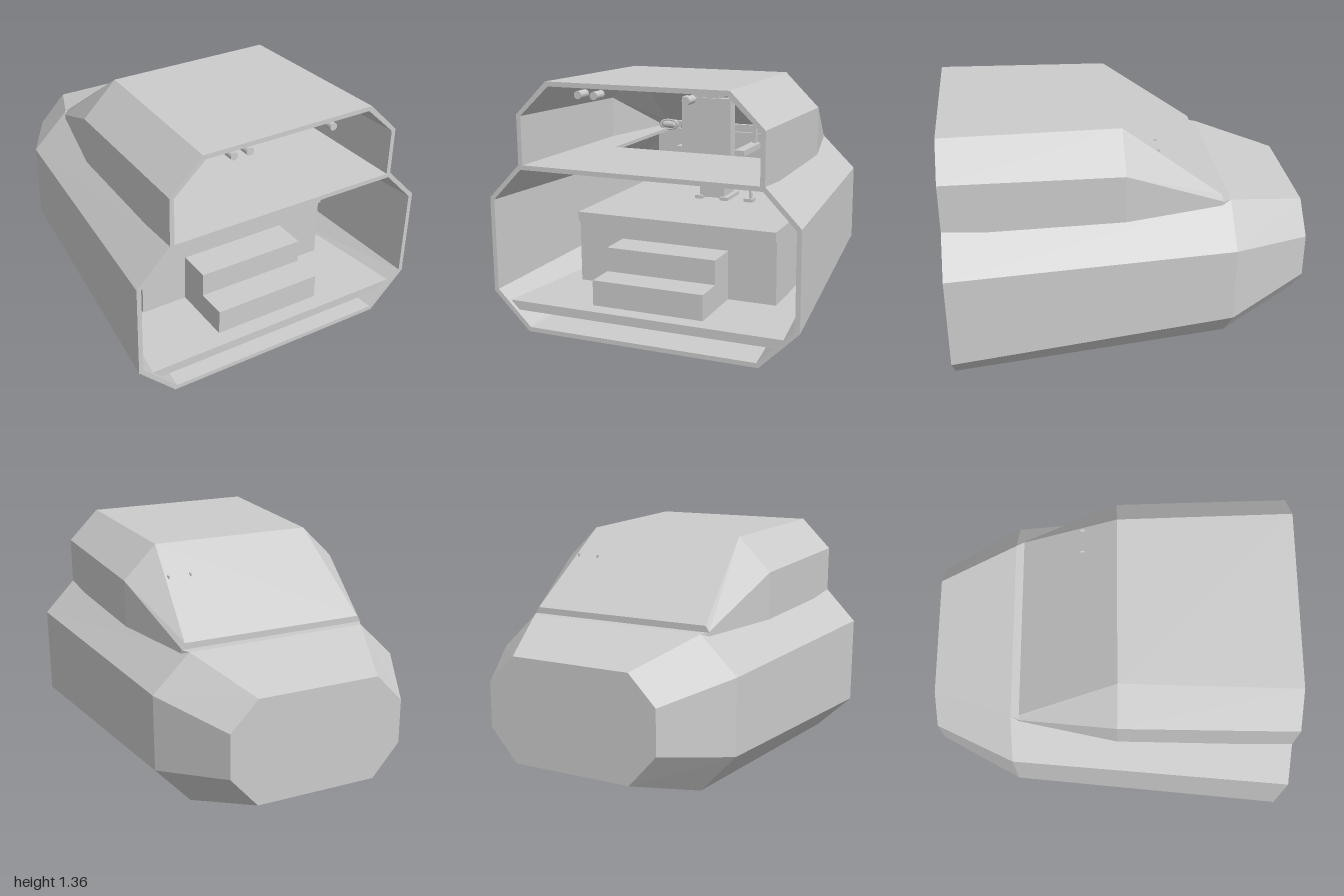
import * as THREE from 'three';

const grey = new THREE.MeshStandardMaterial({ color: 0xcccccc, flatShading: true, side: THREE.DoubleSide });
const smooth = new THREE.MeshStandardMaterial({ color: 0xcccccc });

// Skins a list of rings (counter-clockwise seen from +z, running towards -z) and caps both ends
function loft(rings, skip = () => false) {
  const pos = [];
  const tri = (a, b, c) => pos.push(...a, ...b, ...c);
  const n = rings[0].length;
  for (let i = 0; i < rings.length - 1; i++) {
    for (let j = 0; j < n; j++) {
      if (skip(i, j)) continue;
      const k = (j + 1) % n;
      const a = rings[i][j], b = rings[i][k], c = rings[i + 1][k], d = rings[i + 1][j];
      tri(a, d, c);
      tri(a, c, b);
    }
  }
  const first = rings[0], last = rings[rings.length - 1];
  for (let j = 1; j < n - 1; j++) {
    tri(first[0], first[j], first[j + 1]);
    tri(last[0], last[j + 1], last[j]);
  }
  const geo = new THREE.BufferGeometry();
  geo.setAttribute('position', new THREE.Float32BufferAttribute(pos, 3));
  geo.computeVertexNormals();
  return geo;
}

// Mirrors a right-hand half profile of [x, y] points, bottom to top, into a full ring
const ring = (z, half) => {
  const right = half.map(([x, y]) => [x, y, z]);
  const left = half.map(([x, y]) => [-x, y, z]).reverse();
  return [...right, ...left];
};

const mirrorShape = (half) => new THREE.Shape(
  [...half, ...half.map(([x, y]) => [-x, y]).reverse()].map(([x, y]) => new THREE.Vector2(x, y)));

export function createModel() {
  const model = new THREE.Group();
  const add = (name, geo, x = 0, y = 0, z = 0, parent = model, mat = grey) => {
    const mesh = new THREE.Mesh(geo, mat);
    mesh.name = name;
    mesh.position.set(x, y, z);
    parent.add(mesh);
    return mesh;
  };
  // Box given by its limits
  const box = (name, x0, x1, y0, y1, z0, z1, parent) =>
    add(name, new THREE.BoxGeometry(x1 - x0, y1 - y0, z1 - z0),
      (x0 + x1) / 2, (y0 + y1) / 2, (z0 + z1) / 2, parent);
  const group = (name) => {
    const g = new THREE.Group();
    g.name = name;
    model.add(g);
    return g;
  };

  // Hull: thick eight-sided shell, open at the front; the deck closes its top
  const t = 0.025;
  const hullRing = (z, b, w, top, ys, inset = 0) => ring(z, [
    [b - inset * 0.4, ys[0] + inset], [w - inset, ys[1] + inset * 0.4],
    [w - inset, ys[2] - inset * 0.4], [top - inset * 0.4, ys[3] - inset]]);
  const front = [0.655, 0.865, 0.68, [0.003, 0.21, 0.73, 0.92]];
  const middle = [0.53, 0.73, 0.52, [0.06, 0.285, 0.715, 0.92]];
  const back = [0.345, 0.5, 0.345, [0.21, 0.39, 0.64, 0.8]];
  add('hull', loft([
    hullRing(-0.975, ...back, t), hullRing(-0.55, ...middle, t), hullRing(1, ...front, t),
    hullRing(1, ...front), hullRing(-0.55, ...middle), hullRing(-1, ...back),
  ], (i, j) => j === 3 && (i === 1 || i === 3)));

  // Deck between hull and cabin, with the cockpit opening
  const deckShape = mirrorShape([[0.52, 0.55], [0.545, 0.5], [0.66, -0.04], [0.68, -1]]);
  const opening = [[-0.45, 0.38], [0.45, 0.38], [0.45, -0.35], [-0.45, -0.35]];
  deckShape.holes.push(new THREE.Path(opening.map(([x, y]) => new THREE.Vector2(x, y))));
  const deckGeo = new THREE.ExtrudeGeometry(deckShape, { depth: 0.02, bevelEnabled: false });
  add('deck', deckGeo.rotateX(-Math.PI / 2), 0, 0.9, 0);

  // Cabin: thick six-sided shell with sloping windscreen, open at the front
  add('cabin', loft([
    ring(-0.45, [[0.53, 0.92], [0.53, 0.93], [0.49, 0.955]]),
    ring(0.03, [[0.63, 0.92], [0.63, 1.155], [0.455, 1.325]]),
    ring(1, [[0.655, 0.92], [0.655, 1.18], [0.485, 1.34]]),
    ring(1, [[0.68, 0.92], [0.68, 1.187], [0.5, 1.365]]),
    ring(0.04, [[0.66, 0.912], [0.66, 1.167], [0.47, 1.355]]),
    ring(-0.5, [[0.545, 0.905], [0.545, 0.925], [0.525, 0.955]]),
  ], (i, j) => j === 5 && i !== 2));

  // Floor, raised platform, stairs and bulkhead
  add('floor', loft([
    ring(0.98, [[0.73, 0.11], [0.78, 0.16]]),
    ring(-0.5, [[0.54, 0.11], [0.585, 0.16]]),
  ]));
  box('platform', -0.59, 0.59, 0.16, 0.515, -0.5, 0.53);
  box('platformTop', -0.59, 0.59, 0.515, 0.57, -0.5, 0.55);
  box('lowerStep', -0.32, 0.315, 0.16, 0.3, 0.72, 0.89);
  box('upperStep', -0.32, 0.315, 0.16, 0.435, 0.53, 0.72);
  const wall = mirrorShape([[0.565, 0.57], [0.565, 0.86], [0.535, 0.89]]);
  add('bulkhead', new THREE.ExtrudeGeometry(wall, { depth: 0.02, bevelEnabled: false }), 0, 0, -0.5);

  // Pilot chair facing the windscreen
  const chair = group('chair');
  box('chairBack', -0.155, 0.15, 0.74, 1.19, 0, 0.07, chair);
  box('seat', -0.155, 0.15, 0.72, 0.78, -0.28, 0.03, chair);
  box('chairPost', -0.08, 0.075, 0.58, 0.72, -0.18, -0.02, chair);
  for (const s of [-1, 1]) {
    box('postFoot', s * 0.08 - 0.025, s * 0.08 + 0.025, 0.57, 0.59, -0.2, 0, chair);
    box('armrest', s * 0.185 - 0.03, s * 0.185 + 0.03, 0.85, 0.885, -0.28, 0.02, chair);
    box('armrestPost', s * 0.19 - 0.01, s * 0.19 + 0.01, 0.76, 0.86, -0.03, 0, chair);
    box('controlStick', s * 0.185 - 0.01, s * 0.185 + 0.01, 0.885, 1, -0.27, -0.24, chair);
  }
  const rest = mirrorShape([[0.08, 1.18], [0.12, 1.21], [0.12, 1.295], [0.1, 1.31]]);
  add('headrest', new THREE.ExtrudeGeometry(rest, { depth: 0.04, bevelEnabled: false }), 0, 0, 0, chair);
  box('headrestPad', -0.075, 0.07, 1.19, 1.295, 0.04, 0.06, chair);

  // Lever and pedal beside the chair
  const leverPath = new THREE.CatmullRomCurve3([[0.15, 0.73], [0.2, 0.69], [0.235, 0.63], [0.235, 0.58]]
    .map(([x, y]) => new THREE.Vector3(x, y, -0.05)));
  add('lever', new THREE.TubeGeometry(leverPath, 12, 0.01, 8), 0, 0, 0, model, smooth);
  box('leverFoot', 0.2, 0.255, 0.57, 0.59, -0.08, -0.02);
  box('pedal', 0.09, 0.14, 0.66, 0.675, -0.25, -0.2).rotation.z = -0.15;

  // Dashboard with oval instruments
  box('dashboard', -0.5, 0.5, 0.92, 0.965, -0.43, -0.4);
  for (const x of [-0.435, -0.285, 0.31, 0.46]) {
    const dial = new THREE.CapsuleGeometry(0.028, 0.06, 4, 12).rotateZ(Math.PI / 2);
    add('instrument', dial, x, 0.945, -0.375, model, smooth);
    const rim = new THREE.TorusGeometry(0.03, 0.006, 6, 20).scale(1.9, 1, 1);
    add('instrumentRim', rim, x, 0.945, -0.36, model, smooth);
  }

  // Screen by the windscreen, its bracket tips reaching through the pane
  box('screen', 0.35, 0.465, 1.14, 1.215, -0.14, -0.125);
  for (const x of [0.34, 0.47]) box('screenBracket', x - 0.005, x + 0.005, 1.125, 1.222, -0.162, -0.13);

  // Lamps under the roof edge
  for (const x of [-0.32, -0.23, 0.27]) {
    const lamp = new THREE.CylinderGeometry(0.021, 0.021, 0.08, 16).rotateX(Math.PI / 2);
    add('lamp', lamp, x, 1.303, 0.95, model, smooth);
  }
  return model;
}
